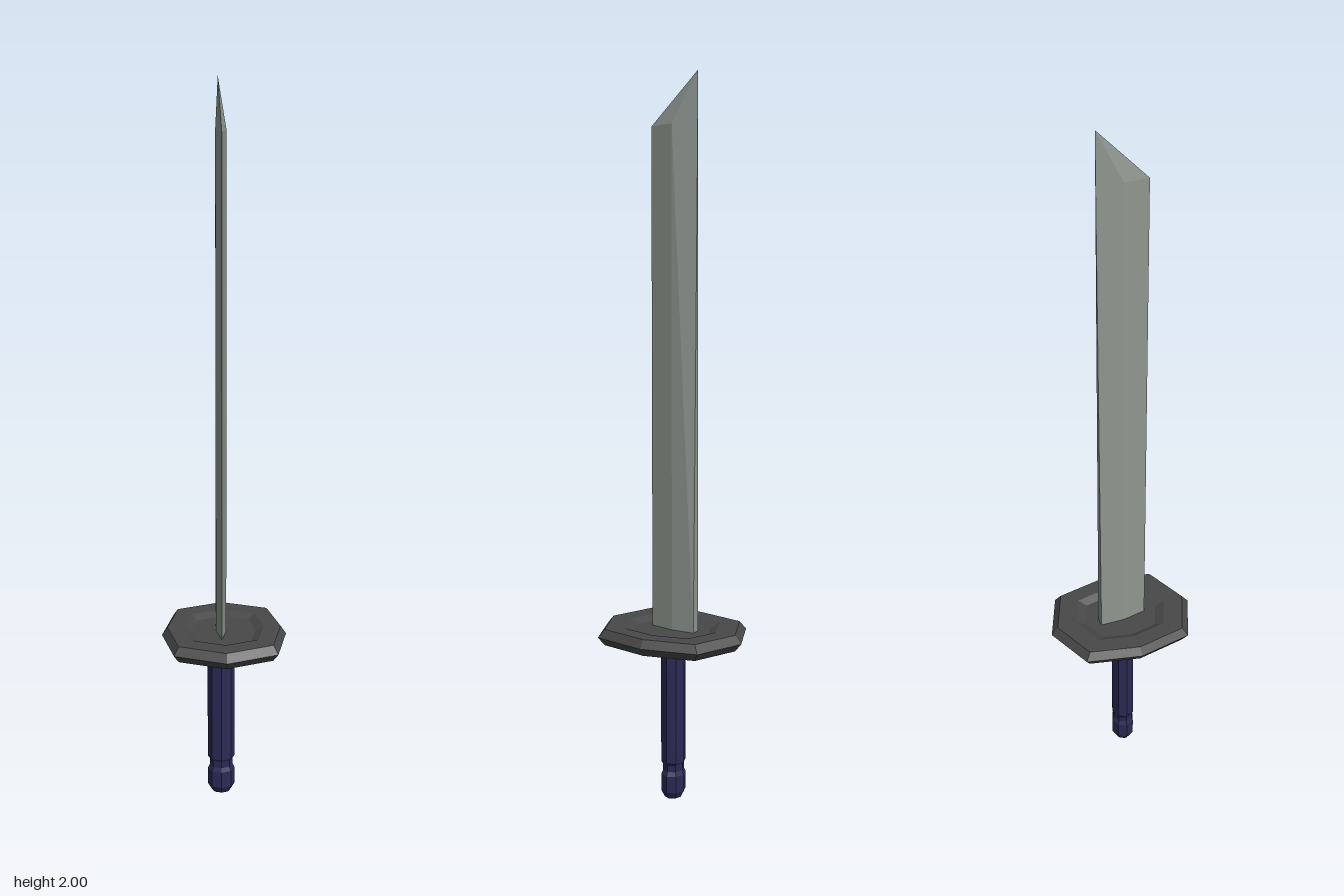
import * as THREE from 'three';
import { ConvexGeometry } from 'three/addons/geometries/ConvexGeometry.js';

const SIDES = 8;

// Eight-sided turned form from [radius, y] pairs, listed bottom to top
function turned(profile) {
  return new THREE.LatheGeometry(profile.map(([r, y]) => new THREE.Vector2(r, y)), SIDES);
}

function addPart(group, name, geometry, color) {
  const material = new THREE.MeshStandardMaterial({ color, flatShading: true });
  const mesh = new THREE.Mesh(geometry, material);
  mesh.name = name;
  group.add(mesh);
  return mesh;
}

// Single-edged blade: side ridges, flat spine narrowing to the point, slanted tip
function bladeGeometry() {
  const base = 0.48, shoulder = 1.865;
  return new ConvexGeometry([
    [-0.022, base, -0.068], [0.005, base, -0.068], // spine
    [-0.023, base, 0], [0.006, base, 0],           // ridges
    [-0.0085, base, 0.071],                        // cutting edge
    [-0.023, shoulder, 0], [0.006, shoulder, 0],
    [-0.0085, 1.86, 0.071],
    [-0.014, 2, -0.068],                           // point
  ].map((p) => new THREE.Vector3(...p)));
}

// Oval eight-sided guard, bevelled outside and recessed above and below
function guardGeometry() {
  const half = [[0, 0.011], [0.11, 0.011], [0.137, 0.0225], [0.195, 0.0225]];
  const geometry = turned([
    ...half.map(([r, y]) => [r, -y]),
    [0.214, 0],
    ...half.slice().reverse(),
  ]);
  // Narrow it in x and push the diagonal corners outward
  const pos = geometry.attributes.position;
  for (let i = 0; i < pos.count; i++) {
    const x = pos.getX(i), z = pos.getZ(i);
    const diagonal = Math.abs(x) > 1e-4 && Math.abs(z) > 1e-4;
    pos.setX(i, x * 0.818 * (diagonal ? 1.146 : 1));
    pos.setZ(i, z * (diagonal ? 1.032 : 1));
  }
  return geometry;
}

export function createModel() {
  const sword = new THREE.Group();
  sword.name = 'sword';

  addPart(sword, 'blade', bladeGeometry(), 0x8f9790);

  const guard = addPart(sword, 'guard', guardGeometry(), 0x484848);
  guard.position.y = 0.479;

  // Grip and pommel, with a narrow neck between them
  const hilt = new THREE.Group();
  hilt.name = 'hilt';
  hilt.position.set(-0.0085, 0, 0.003);
  hilt.scale.z = 0.88;
  addPart(hilt, 'grip', turned([[0, 0.1], [0.034, 0.1], [0.0385, 0.107], [0.0385, 0.475], [0, 0.475]]), 0x2a2a55);
  addPart(hilt, 'neck', turned([[0.033, 0.07], [0.033, 0.105]]), 0x2a2a55);
  addPart(hilt, 'pommel', turned([[0, 0], [0.027, 0], [0.0385, 0.02], [0.0385, 0.068], [0.033, 0.08], [0, 0.08]]), 0x2a2a55);
  sword.add(hilt);

  return sword;
}
